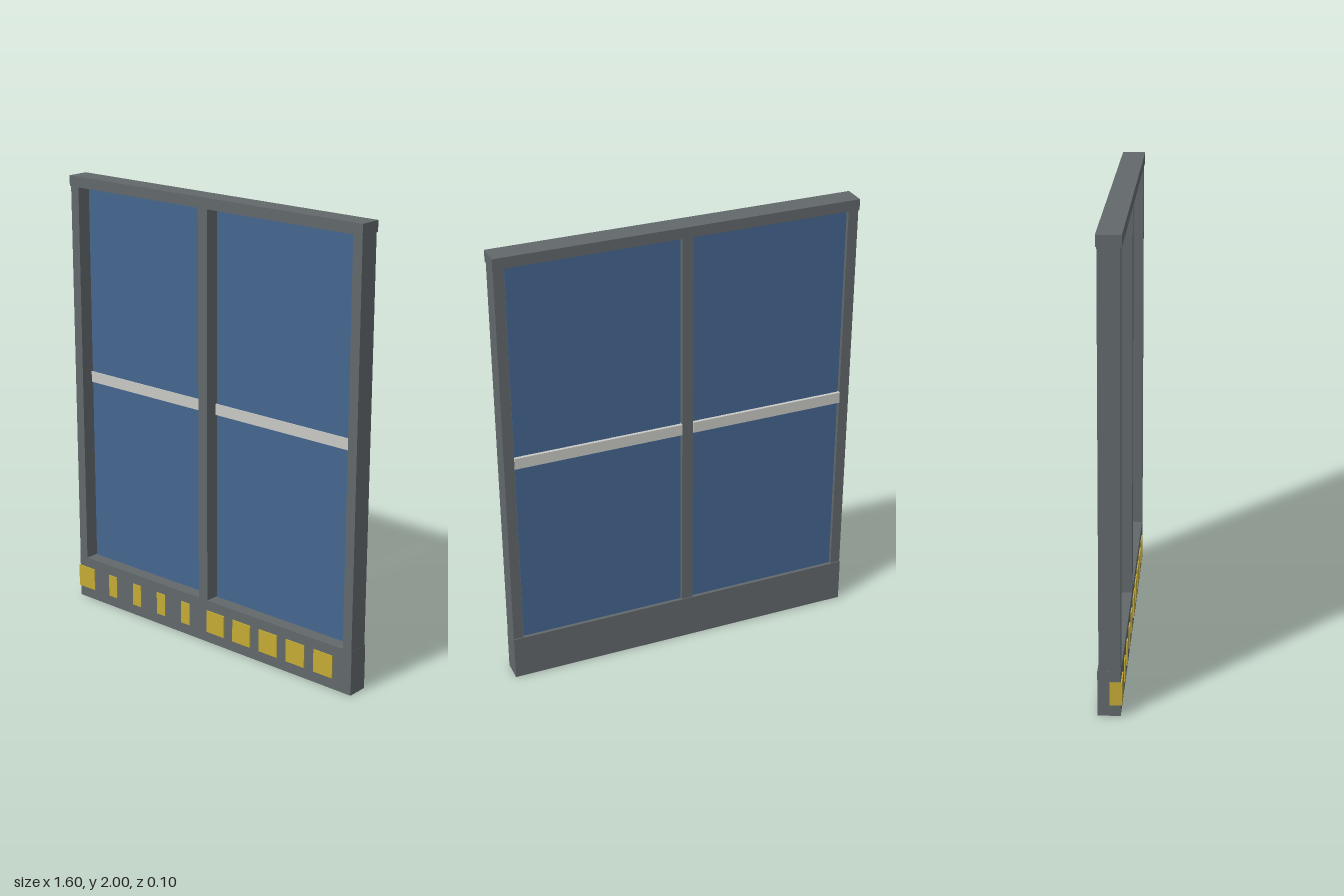
import * as THREE from 'three';

export function createModel() {
  const model = new THREE.Group();
  model.name = 'windowPanel';
  const mat = (name, color) => {
    const m = new THREE.MeshStandardMaterial({ color });
    m.name = name;
    return m;
  };
  const frame = mat('frameGrey', 0x62686b);
  const glass = mat('glassBlue', 0x44668f);
  const rail = mat('railLightGrey', 0xc8c8c4);
  const yellow = mat('blockYellow', 0xc4ab35);

  // Box given by its limits on each axis
  const box = (name, material, [x0, x1], [y0, y1], [z0, z1]) => {
    const mesh = new THREE.Mesh(new THREE.BoxGeometry(x1 - x0, y1 - y0, z1 - z0), material);
    mesh.position.set((x0 + x1) / 2, (y0 + y1) / 2, (z0 + z1) / 2);
    mesh.name = name;
    model.add(mesh);
  };

  // Frame: bottom sill, top beam and three posts
  box('bottomSill', frame, [-0.796, 0.796], [0, 0.2], [-0.05, 0.045]);
  box('topBeam', frame, [-0.798, 0.798], [1.953, 2], [-0.05, 0.05]);
  for (const [name, x0, x1] of [['rightPost', -0.795, -0.75], ['middlePost', -0.05, 0], ['leftPost', 0.75, 0.795]]) {
    box(name, frame, [x0, x1], [0.2, 1.953], [-0.045, 0.045]);
  }

  // Panes set back between the posts, each with a light cross rail
  for (const [side, x0, x1] of [['right', -0.75, -0.05], ['left', 0, 0.75]]) {
    box(side + 'Pane', glass, [x0 + 0.004, x1 - 0.004], [0.2, 1.953], [-0.035, -0.015]);
    box(side + 'Rail', rail, [x0, x1], [1.05, 1.1], [-0.049, -0.011]);
  }

  // Row of yellow blocks set into the sill
  const blocks = [
    [-0.8, 0.1], [-0.605, 0.05], [-0.452, 0.05], [-0.302, 0.05], [-0.153, 0.05],
    [0, 0.1], [0.15, 0.1], [0.3, 0.1], [0.45, 0.1], [0.6, 0.1],
  ];
  for (const [x, w] of blocks) {
    box('sillBlock', yellow, [x, x + w], [0.05, 0.153], [0, 0.05]);
  }
  return model;
}
